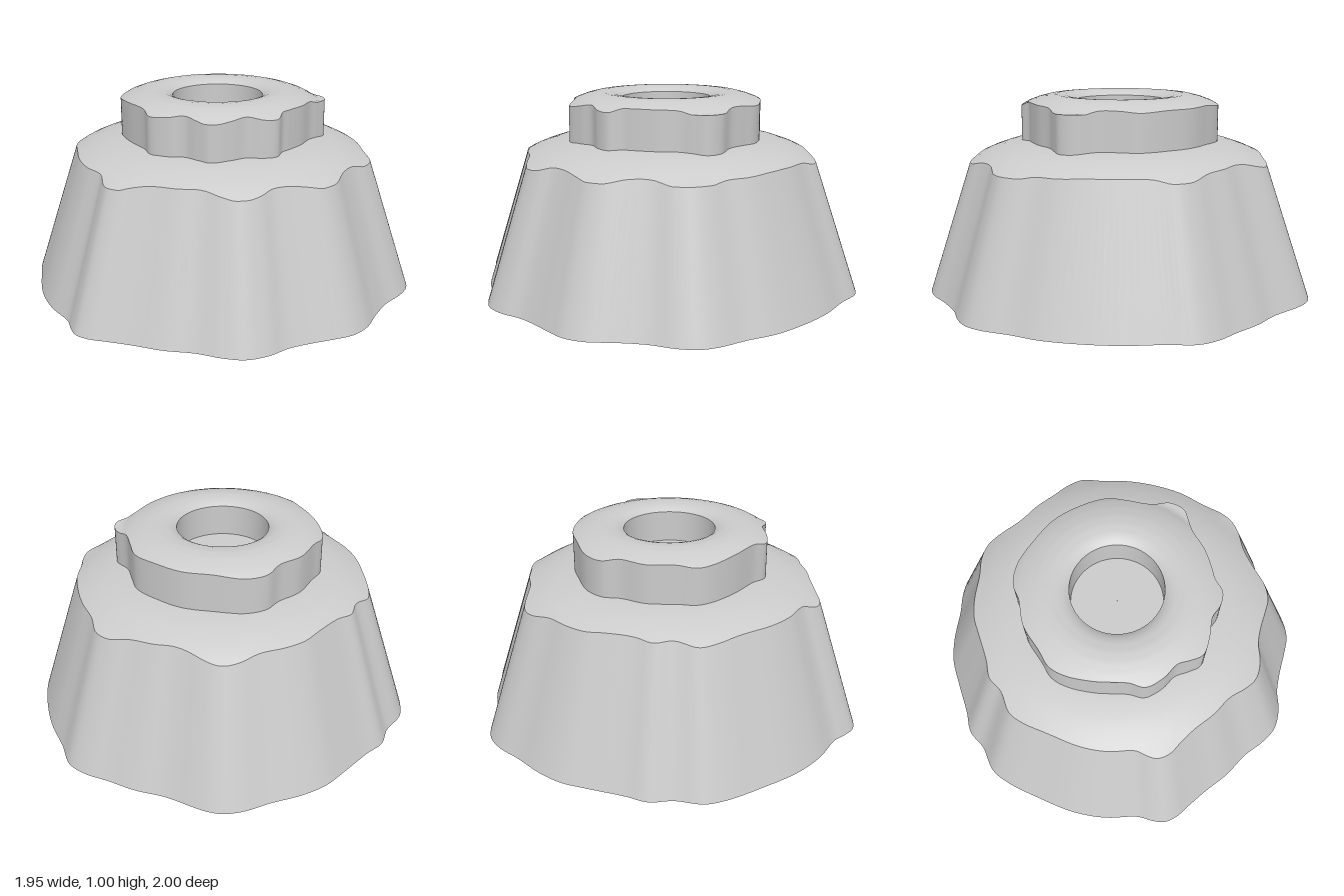
import * as THREE from 'three';

const CX = -0.025; // axis of the dome, knob and bore
const SEG = 240;

// Plan outlines as x, z pairs, running from the back round by the +x side
const BASE = [
  -0.16, -1.0, -0.02, -0.97, 0.16, -0.945, 0.34, -0.89, 0.51, -0.81, 0.635, -0.715,
  0.757, -0.635, 0.82, -0.566, 0.852, -0.476, 0.868, -0.344, 0.91, -0.21, 0.963, -0.08,
  0.97, 0.026, 0.935, 0.13, 0.89, 0.24, 0.857, 0.344, 0.847, 0.45, 0.804, 0.556,
  0.725, 0.624, 0.61, 0.69, 0.5, 0.78, 0.37, 0.857, 0.265, 0.926, 0.185, 0.98,
  0.116, 1.0, 0.05, 0.985, -0.026, 0.955, -0.2, 0.94, -0.37, 0.89, -0.556, 0.79,
  -0.714, 0.69, -0.794, 0.61, -0.84, 0.476, -0.905, 0.38, -0.92, 0.265, -0.958, 0.08,
  -0.98, -0.05, -0.968, -0.185, -0.926, -0.344, -0.9, -0.476, -0.857, -0.566,
  -0.794, -0.624, -0.62, -0.725, -0.503, -0.82, -0.37, -0.9, -0.265, -0.968,
];
const KNOB = [
  -0.02, -0.497, 0.08, -0.47, 0.175, -0.44, 0.29, -0.44, 0.354, -0.397, 0.37, -0.333,
  0.38, -0.265, 0.423, -0.16, 0.444, -0.053, 0.45, 0, 0.48, 0.063, 0.46, 0.13,
  0.407, 0.196, 0.386, 0.275, 0.344, 0.365, 0.28, 0.39, 0.21, 0.407, 0.143, 0.46,
  0.053, 0.495, -0.026, 0.47, -0.185, 0.444, -0.317, 0.397, -0.386, 0.344,
  -0.423, 0.265, -0.487, 0.13, -0.497, 0, -0.52, -0.09, -0.49, -0.196,
  -0.397, -0.307, -0.29, -0.407, -0.16, -0.466,
];

// Crown profiles: radius from the axis, height
const BASE_CROWN = [[0, 0.775], [0.4, 0.772], [0.5, 0.765], [0.6, 0.746], [0.68, 0.718], [0.73, 0.695], [0.775, 0.667]];
const KNOB_CROWN = [[0.23, 0.97], [0.25, 0.985], [0.28, 0.995], [0.33, 1.0], [0.38, 0.995], [0.43, 0.982], [0.475, 0.965], [0.51, 0.945]];

function heightAt(profile, r) {
  if (r <= profile[0][0]) return profile[0][1];
  for (let i = 1; i < profile.length; i++) {
    const [r0, y0] = profile[i - 1], [r1, y1] = profile[i];
    if (r <= r1) return y0 + (y1 - y0) * (r - r0) / (r1 - r0);
  }
  return profile[profile.length - 1][1];
}

function smoothOutline(flat) {
  const pts = [];
  for (let i = 0; i < flat.length; i += 2) pts.push(new THREE.Vector3(flat[i], 0, flat[i + 1]));
  return new THREE.CatmullRomCurve3(pts, true).getPoints(SEG).slice(0, SEG);
}

// Skin between successive closed rings
function loft(rings) {
  const n = rings[0].length, index = [];
  for (let k = 0; k < rings.length - 1; k++) {
    for (let i = 0; i < n; i++) {
      const j = (i + 1) % n, a = k * n + i, b = k * n + j;
      index.push(a, a + n, b, b, a + n, b + n);
    }
  }
  const g = new THREE.BufferGeometry();
  g.setAttribute('position', new THREE.Float32BufferAttribute(rings.flat().flatMap(p => [p.x, p.y, p.z]), 3));
  g.setIndex(index);
  g.computeVertexNormals();
  return g;
}

const ringAt = (r, y) => (p) => {
  const d = Math.hypot(p.x - CX, p.z);
  return new THREE.Vector3(CX + (p.x - CX) * r / d, y, p.z * r / d);
};

// Lobed wall that rises, tapering, until it meets a revolved crown
function lobedBody(name, flat, y0, taper, crown, rIn, material) {
  const group = new THREE.Group();
  group.name = name;
  const add = (part, rings) => {
    const mesh = new THREE.Mesh(loft(rings), material);
    mesh.name = part;
    group.add(mesh);
  };
  const plan = smoothOutline(flat);
  const bottom = plan.map(p => new THREE.Vector3(p.x, y0, p.z));
  const top = plan.map(p => {
    let y = crown[crown.length - 1][1], q;
    for (let i = 0; i < 8; i++) {
      const s = 1 - taper * y;
      q = new THREE.Vector3(p.x * s, y, p.z * s);
      y = heightAt(crown, Math.hypot(q.x - CX, q.z));
    }
    return q.setY(y);
  });
  add(name + 'Wall', [bottom, top]);

  const rings = [top];
  const steps = 20;
  for (let k = 1; k <= steps; k++) {
    rings.push(top.map(p => {
      const d = Math.hypot(p.x - CX, p.z);
      const r = d + (rIn - d) * k / steps;
      return ringAt(r, heightAt(crown, r))(p);
    }));
  }
  add(name + 'Crown', rings);
  add(name + 'Underside', [plan.map(ringAt(0.001, y0)), bottom]);
  return { group, add, plan };
}

export function createModel() {
  const model = new THREE.Group();
  const material = new THREE.MeshStandardMaterial({ color: 0xcccccc });

  const base = lobedBody('base', BASE, 0, 0.337, BASE_CROWN, 0.001, material);
  const knob = lobedBody('knob', KNOB, 0.74, 0, KNOB_CROWN, 0.23, material);

  // Blind bore in the knob
  const floorY = 0.81;
  const rim = knob.plan.map(ringAt(0.23, 0.97));
  const foot = knob.plan.map(ringAt(0.23, floorY));
  knob.add('boreWall', [rim, foot]);
  knob.add('boreFloor', [foot, knob.plan.map(ringAt(0.001, floorY))]);

  model.add(base.group, knob.group);
  return model;
}
